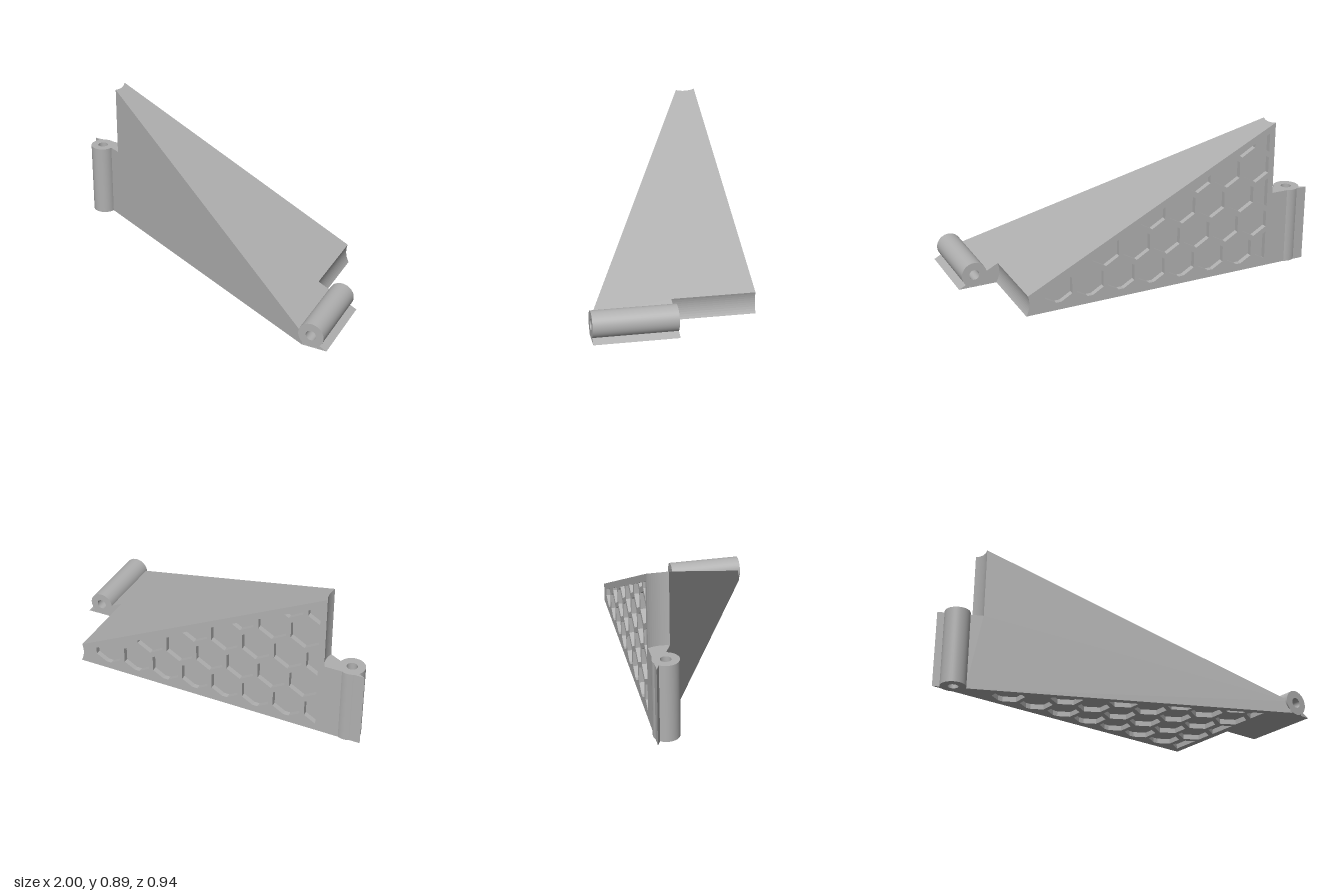
import * as THREE from 'three';
import { mergeGeometries } from 'three/addons/utils/BufferGeometryUtils.js';

// Each half works in local coordinates: s = distance from the sharp end,
// a = along the hinge axis, e = depth in from the pocketed face.
const HINGE_S = 0.095, BARREL_R = 0.074, BORE_R = 0.03, CLEARANCE = 0.15;
const POCKET = 0.03, BORDER = 0.265;

const grey = new THREE.MeshStandardMaterial({ color: 0xb0b0b0, side: THREE.DoubleSide });
grey.name = 'grey plastic';

const vec = (list) => list.map(([x, y]) => new THREE.Vector2(x, y));

// flat polygon, then every corner is placed by a rule
function surface(points, rule, holes = []) {
  const shape = new THREE.Shape(vec(points));
  shape.holes = holes.map((h) => new THREE.Path(vec(h)));
  const g = new THREE.ShapeGeometry(shape).toNonIndexed();
  const p = g.attributes.position;
  for (let i = 0; i < p.count; i++) p.setXYZ(i, ...rule(p.getX(i), p.getY(i)));
  g.deleteAttribute('uv');
  g.computeVertexNormals();
  return g;
}

// strip of quads between two matching point lists
function ribbon(P, Q) {
  const pos = [];
  for (let i = 0; i + 1 < P.length; i++) {
    pos.push(...P[i], ...P[i + 1], ...Q[i + 1], ...P[i], ...Q[i + 1], ...Q[i]);
  }
  const g = new THREE.BufferGeometry();
  g.setAttribute('position', new THREE.Float32BufferAttribute(pos, 3));
  g.computeVertexNormals();
  return g;
}

// keep the part of a convex polygon where nx*x + ny*y <= d
function clip(poly, [nx, ny, d]) {
  const out = [];
  poly.forEach((p, i) => {
    const q = poly[(i + 1) % poly.length];
    const dp = nx * p[0] + ny * p[1] - d, dq = nx * q[0] + ny * q[1] - d;
    if (dp <= 0) out.push(p);
    if (dp * dq < 0) {
      const t = dp / (dp - dq);
      out.push([p[0] + t * (q[0] - p[0]), p[1] + t * (q[1] - p[1])]);
    }
  });
  return out;
}

// honeycomb cells trimmed to the bordered triangle
function honeycomb() {
  const limits = [[-1, 0, -BORDER], [1, 0, 2 - BORDER], [0, -1, -0.045], [0.5, 1, 0.957]];
  const cells = [];
  for (let row = 0; row < 6; row++) {
    for (let col = 0; col < 10; col++) {
      const cs = 0.2525 + 0.19 * (col + (row % 2) / 2), ca = 0.13 + 0.168 * row;
      let cell = [];
      for (let k = 0; k < 6; k++) {
        const t = Math.PI * (k / 3 + 1 / 6);
        cell.push([cs + 0.094 * Math.cos(t), ca + 0.094 * Math.sin(t)]);
      }
      for (const l of limits) cell = clip(cell, l);
      if (cell.length > 2 && Math.abs(THREE.ShapeUtils.area(vec(cell))) > 0.0015) cells.push(cell);
    }
  }
  return cells;
}

// clearance arc cut for the mating hinge, as [s, e] points
function clearanceArc(e0) {
  const cut = (e) => HINGE_S + Math.sqrt(CLEARANCE ** 2 - (e - e0) ** 2);
  let end = 0.12;
  for (let i = 0; i < 20; i++) end = cut(end) / 2;
  return Array.from({ length: 11 }, (_, i) => [cut((end * i) / 10), (end * i) / 10]);
}

function addMesh(group, name, geometry) {
  const mesh = new THREE.Mesh(geometry, grey);
  mesh.name = name;
  group.add(mesh);
  return mesh;
}

function barrel(group, e0, a0, a1) {
  const hinge = new THREE.Group();
  hinge.name = 'hingeBarrel';
  hinge.position.set(HINGE_S, (a0 + a1) / 2, e0);
  const len = a1 - a0;
  addMesh(hinge, 'barrelWall', new THREE.CylinderGeometry(BARREL_R, BARREL_R, len, 40, 1, true));
  addMesh(hinge, 'pinBore', new THREE.CylinderGeometry(BORE_R, BORE_R, len, 32, 1, true));
  for (const side of [1, -1]) {
    const ring = addMesh(hinge, 'barrelEnd', new THREE.RingGeometry(BORE_R, BARREL_R, 40));
    ring.rotation.x = (-side * Math.PI) / 2;
    ring.position.y = (side * len) / 2;
  }
  group.add(hinge);
}

// one half: pocketed face, sloping face, clearance cut, ledges and barrel
function half({ name, e0, hinge, cut, face, slope }) {
  const group = new THREE.Group();
  group.name = name;
  const arc = clearanceArc(e0), [a0, a1] = hinge;
  const cells = honeycomb();

  const faces = face.map((f, i) => surface(f, (s, a) => [s, a, 0], i ? [] : cells));
  addMesh(group, 'honeycombFace', mergeGeometries(faces));
  const pockets = cells.flatMap((c) => {
    const loop = [...c, c[0]];
    return [
      surface(c, (s, a) => [s, a, POCKET]),
      ribbon(loop.map(([s, a]) => [s, a, 0]), loop.map(([s, a]) => [s, a, POCKET])),
    ].map((g) => g.index ? g.toNonIndexed() : g);
  });
  addMesh(group, 'honeycombPockets', mergeGeometries(pockets));

  const fin = [[0, a0], [0.045, a0], [0.045, a1], [0, a1]];
  addMesh(group, 'slopingFace', mergeGeometries(
    [slope, fin].map((f) => surface(f, (s, a) => [s, a, s / 2]))));

  addMesh(group, 'clearanceCut', ribbon(
    arc.map(([s, e]) => [s, cut === 'above' ? a1 : 0, e]),
    arc.map(([s, e]) => [s, cut === 'above' ? 1 - s / 2 : a0, e])));

  // flat ends beside the barrel, leaving the bore open
  for (const a of hinge) {
    const limit = 2 * (1 - a);
    const web = limit < 0.2
      ? [[0.13, 0], [limit, 0], [limit, limit / 2], [0.13, 0.065]]
      : [[0.13, 0], ...arc, [0.13, 0.065]];
    const tip = [[0, 0], [0.06, 0], [0.06, 0.03]];
    addMesh(group, 'hingeLedge', mergeGeometries(
      [web, tip].map((f) => surface(f, (s, e) => [s, a, e]))));
  }
  barrel(group, e0, a0, a1);
  return group;
}

export function createModel() {
  const model = new THREE.Group();
  model.name = 'hingedWedge';

  const backE = 0.066, baseE = 0.074;
  const backArc = clearanceArc(backE), baseArc = clearanceArc(baseE);
  const far = (arc) => arc.map(([s, e]) => [2 - s, e]);
  const bs = backArc[10][0], b0 = backArc[0][0], f0 = baseArc[0][0], fs = baseArc[10][0];

  // upright half: back face, front face and vertical hinge
  const upright = half({
    name: 'uprightHalf', e0: backE, hinge: [0, 0.455], cut: 'above',
    face: [[[0, 0], ...far(baseArc), [b0, 1 - b0 / 2], [b0, 0.455], [0, 0.455]]],
    slope: [[0.165, 0], [1.856, 0], [1.856, 0.072], [bs, 1 - bs / 2], [bs, 0.455], [0.165, 0.455]],
  });
  upright.position.set(-1, 0, -0.46);

  // lying half: underside, top slope and horizontal hinge
  const lying = half({
    name: 'lyingHalf', e0: baseE, hinge: [0.008 + 0.46, 0.928], cut: 'below',
    face: [[[f0, 0], [1.87, 0], [1.87, 0.065], [0.144, 0.928], [0, 0.928], [0, 0.468], [f0, 0.468]]],
    slope: [[fs, 0], ...far(backArc), [0.165, 0.9175], [0.165, 0.468], [fs, 0.468]],
  });
  lying.applyMatrix4(new THREE.Matrix4().makeBasis(
    new THREE.Vector3(-1, 0, 0), new THREE.Vector3(0, 0, 1), new THREE.Vector3(0, 1, 0)
  ).setPosition(1, 0, -0.46));

  model.add(upright, lying);
  return model;
}
